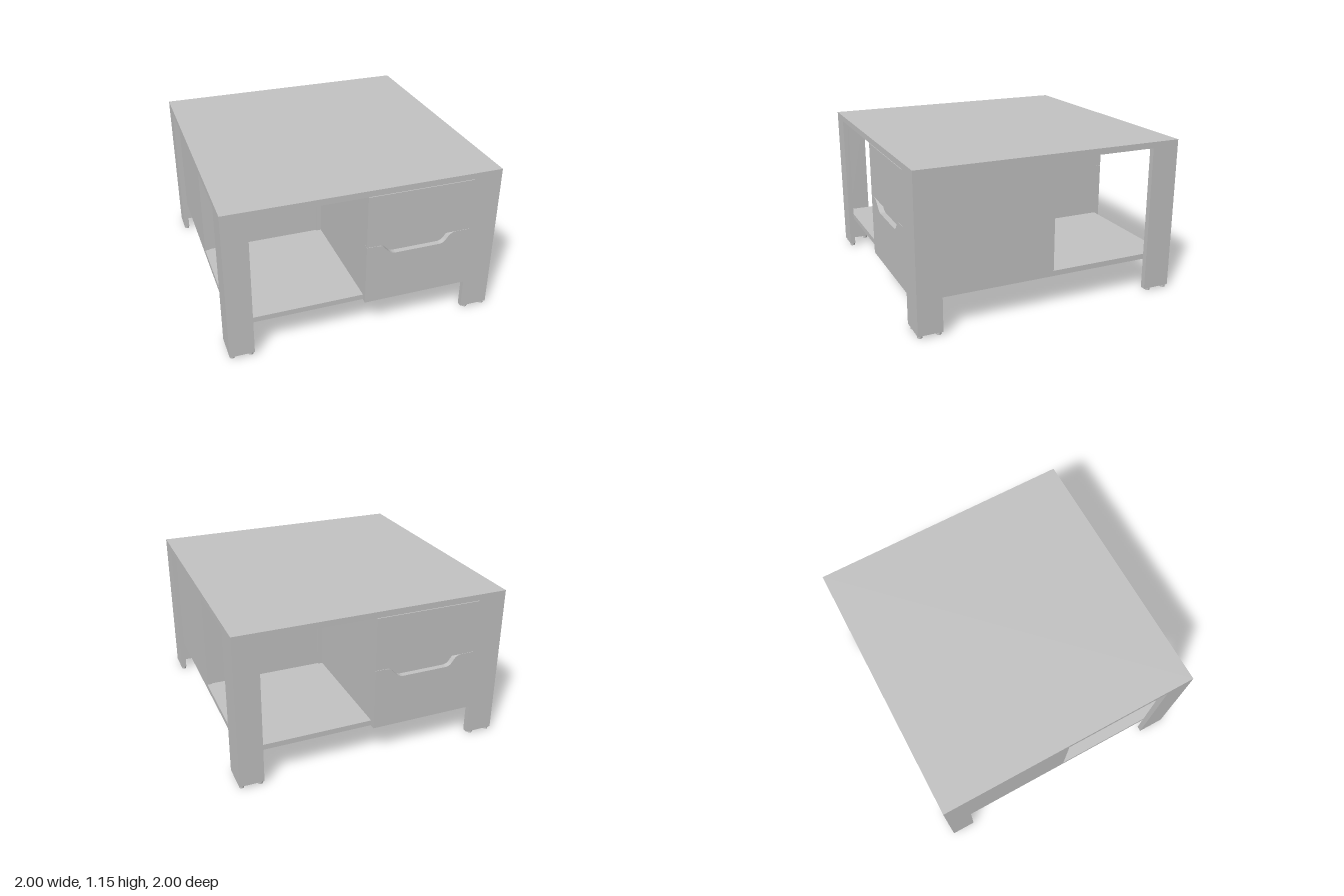
import * as THREE from 'three';

const grey = new THREE.MeshStandardMaterial({ color: 0xc4c4c4 });
grey.name = 'light grey';

// Box given by its min and max corners
function board(name, [x0, y0, z0], [x1, y1, z1]) {
  const geo = new THREE.BoxGeometry(x1 - x0, y1 - y0, z1 - z0);
  geo.translate((x0 + x1) / 2, (y0 + y1) / 2, (z0 + z1) / 2);
  const mesh = new THREE.Mesh(geo, grey);
  mesh.name = name;
  return mesh;
}

// L-shaped corner leg with three foot pads
function makeLeg() {
  const leg = new THREE.Group();
  leg.name = 'cornerLeg';
  leg.add(board('widePlate', [0.79, 0.02, 0.96], [1, 1.11, 1]));
  leg.add(board('narrowPlate', [0.96, 0.02, 0.82], [1, 1.11, 0.96]));
  for (const [x, z] of [[0.975, 0.978], [0.835, 0.978], [0.978, 0.845]]) {
    const pad = new THREE.Mesh(new THREE.CylinderGeometry(0.018, 0.018, 0.022, 16), grey);
    pad.position.set(x, 0.011, z);
    pad.name = 'footPad';
    leg.add(pad);
  }
  return leg;
}

// Lower drawer front with a curved finger cutout in its top edge
function makeLowerFront() {
  const s = new THREE.Shape();
  s.moveTo(0, 0.247);
  s.lineTo(0.79, 0.247);
  s.lineTo(0.79, 0.71);
  s.lineTo(0.675, 0.71);
  s.bezierCurveTo(0.61, 0.705, 0.62, 0.635, 0.56, 0.63);
  s.lineTo(0.215, 0.63);
  s.bezierCurveTo(0.15, 0.635, 0.15, 0.705, 0.068, 0.71);
  s.lineTo(0, 0.71);
  s.closePath();
  const geo = new THREE.ExtrudeGeometry(s, { depth: 0.04, bevelEnabled: false, curveSegments: 10 });
  const mesh = new THREE.Mesh(geo, grey);
  mesh.position.z = 0.96;
  mesh.name = 'lowerDrawerFront';
  return mesh;
}

// Cabinet filling one quarter of the table
function makeCabinet() {
  const cabinet = new THREE.Group();
  cabinet.name = 'drawerCabinet';
  cabinet.add(
    board('innerWall', [0, 0.29, -0.03], [0.035, 1.11, 0.96]),
    board('outerWall', [0.925, 0.29, -0.03], [0.96, 1.11, 0.96]),
    board('backWall', [0.035, 0.29, -0.02], [0.925, 1.11, 0.01]),
    board('drawerBoxFront', [0.035, 0.3, 0.92], [0.925, 1.1, 0.95]),
    board('upperDrawerFront', [0, 0.712, 0.96], [0.79, 1.106, 1]),
    makeLowerFront()
  );
  return cabinet;
}

export function createModel() {
  const table = new THREE.Group();
  table.name = 'coffeeTable';
  table.add(board('tableTop', [-1, 1.11, -1], [1, 1.155, 1]));
  table.add(board('shelf', [-0.96, 0.25, -0.96], [0.96, 0.29, 0.96]));

  // Legs repeat every quarter turn, cabinets every half turn
  for (let i = 0; i < 4; i++) {
    const leg = makeLeg();
    leg.rotation.y = i * Math.PI / 2;
    table.add(leg);
    if (i % 2 === 0) {
      const cabinet = makeCabinet();
      cabinet.rotation.y = i * Math.PI / 2;
      table.add(cabinet);
    }
  }
  return table;
}
